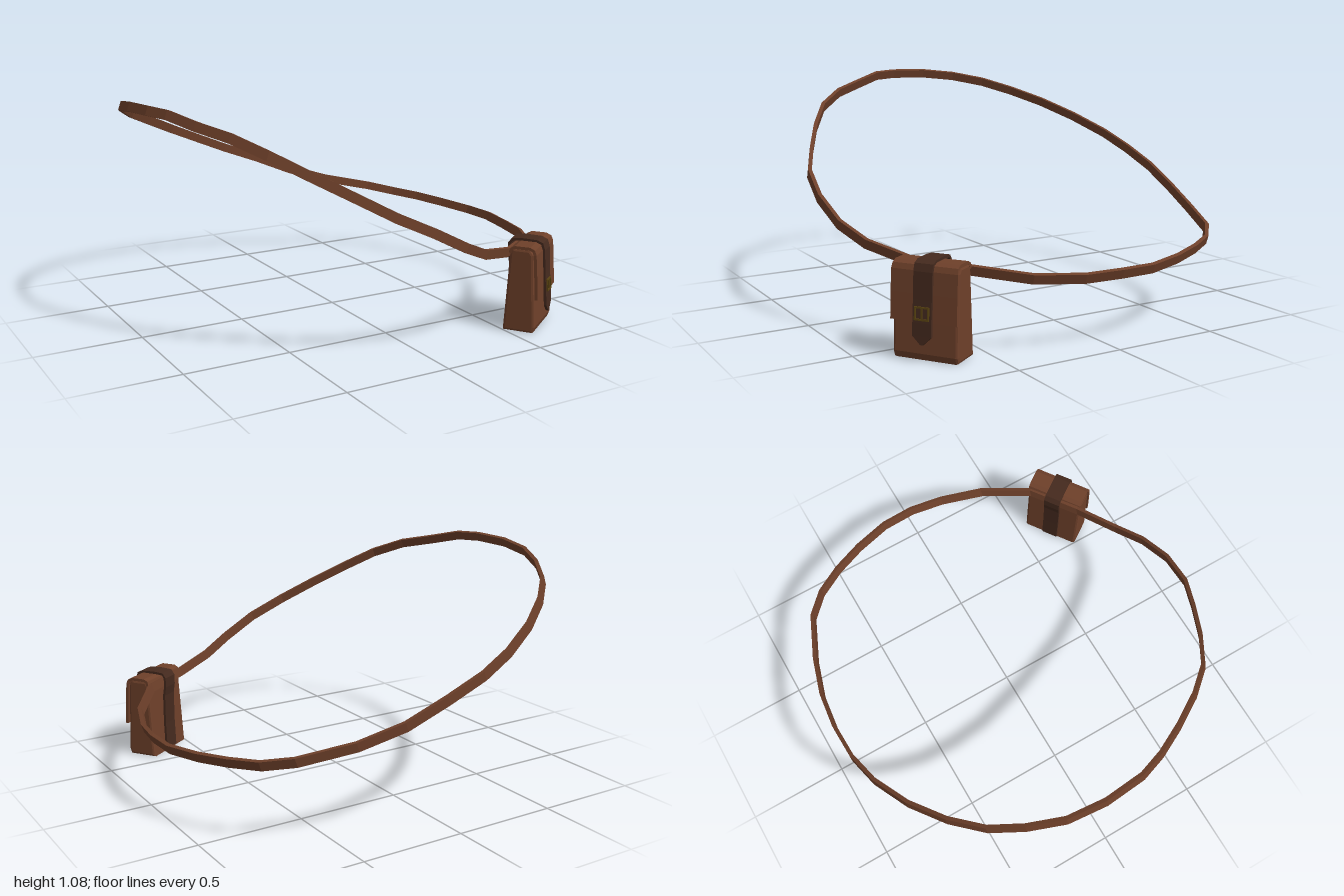
import * as THREE from 'three';

const V = (x, y, z) => new THREE.Vector3(x, y, z);
const mat = (color) => new THREE.MeshStandardMaterial({ color, flatShading: true, roughness: 0.8 });

// Flat band swept along points: u is the width direction, widths may vary per point
function ribbon(pts, u, width, thick, closed = false) {
  const n = pts.length, pos = [], idx = [];
  pts.forEach((p, i) => {
    const a = closed ? pts[(i + n - 1) % n] : pts[Math.max(i - 1, 0)];
    const b = closed ? pts[(i + 1) % n] : pts[Math.min(i + 1, n - 1)];
    const t = b.clone().sub(a).normalize();
    const v = t.cross(u).normalize();
    const w = width(i) / 2;
    for (const [su, sv] of [[-1, -1], [1, -1], [1, 1], [-1, 1]]) {
      const c = p.clone().addScaledVector(u, su * w).addScaledVector(v, sv * thick / 2);
      pos.push(c.x, c.y, c.z);
    }
  });
  for (let i = 0; i < (closed ? n : n - 1); i++) {
    const j = (i + 1) % n;
    for (let k = 0; k < 4; k++) {
      const l = (k + 1) % 4;
      const a = i * 4 + k, b = i * 4 + l, c = j * 4 + l, d = j * 4 + k;
      idx.push(a, b, c, a, c, d);
    }
  }
  if (!closed) {
    const e = (n - 1) * 4;
    idx.push(0, 2, 1, 0, 3, 2, e, e + 1, e + 2, e, e + 2, e + 3);
  }
  const g = new THREE.BufferGeometry();
  g.setAttribute('position', new THREE.Float32BufferAttribute(pos, 3));
  g.setIndex(idx);
  g.computeVertexNormals();
  return g;
}

// Belt centre line, clockwise from the back: x, y, z
const BELT = [
  [0.03, 0.585, -0.925], [0.23, 0.5, -0.905], [0.435, 0.435, -0.85], [0.67, 0.385, -0.755],
  [0.78, 0.36, -0.655], [0.86, 0.348, -0.52], [0.925, 0.335, -0.365], [0.975, 0.325, -0.185],
  [0.98, 0.325, -0.02], [0.955, 0.32, 0.15], [0.885, 0.33, 0.36], [0.735, 0.365, 0.58],
  [0.51, 0.375, 0.735], [0.3, 0.42, 0.84], [0.15, 0.485, 0.9], [-0.025, 0.575, 0.92],
  [-0.205, 0.66, 0.895], [-0.355, 0.745, 0.825], [-0.515, 0.835, 0.74], [-0.66, 0.92, 0.64],
  [-0.765, 0.98, 0.51], [-0.855, 1.015, 0.36], [-0.925, 1.05, 0.22], [-0.965, 1.055, 0.1],
  [-0.98, 1.05, -0.09], [-0.96, 1.03, -0.27], [-0.895, 0.995, -0.43], [-0.81, 0.945, -0.57],
  [-0.68, 0.885, -0.695], [-0.515, 0.81, -0.805], [-0.33, 0.73, -0.885], [-0.165, 0.66, -0.92],
];

export function createModel() {
  const model = new THREE.Group();
  const leather = mat(0x6e402a), dark = mat(0x452a1e), brass = mat(0x5c4512);
  const add = (parent, name, geo, material) => {
    const m = new THREE.Mesh(geo, material);
    m.name = name;
    parent.add(m);
    return m;
  };

  // Belt loop, its width square to the tilted plane of the loop
  const up = V(0.33, 0.944, 0);
  add(model, 'belt', ribbon(BELT.map((p) => V(...p)), up, () => 0.044, 0.018, true), leather);

  // Pouch group, local z points away from the belt
  const pouch = new THREE.Group();
  pouch.name = 'pouch';
  pouch.position.set(0.626, 0, 0.655);
  pouch.rotation.y = 0.61;
  model.add(pouch);

  // Body: side profile (z, y) with small bevels, extruded across the width
  const b = 0.012;
  const side = new THREE.Shape([
    [0.002, 0.012], [0.122, 0.012], [0.128, 0.03], [0.112, 0.37], [0.1, 0.386], [0.03, 0.386], [0.024, 0.375],
  ].map(([z, y]) => new THREE.Vector2(z, y)));
  const bodyGeo = new THREE.ExtrudeGeometry(side, {
    depth: 0.3 - 2 * b, bevelEnabled: true, bevelThickness: b, bevelSize: b, bevelSegments: 2,
  });
  bodyGeo.rotateY(-Math.PI / 2).translate(0.15 - b, 0, 0);
  add(pouch, 'pouchBody', bodyGeo, leather);

  const X = V(1, 0, 0);
  const path = (list) => list.map(([z, y]) => V(0, y, z));

  // Flap folded over the top and down the front
  const flap = path([
    [0.013, 0.375], [0.02, 0.395], [0.035, 0.403], [0.105, 0.403], [0.124, 0.394],
    [0.131, 0.375], [0.138, 0.28], [0.145, 0.165],
  ]);
  add(pouch, 'flap', ribbon(flap, X, (i) => (i < 5 ? 0.298 : 0.304), 0.014), leather);

  // Strap from the bottom of the back, round the belt, over the top to a pointed tip
  const strap = path([
    [-0.016, 0.012], [-0.012, 0.15], [-0.014, 0.3], [-0.022, 0.345], [-0.022, 0.392], [-0.008, 0.412],
    [0.04, 0.416], [0.11, 0.414], [0.134, 0.404], [0.143, 0.375], [0.15, 0.26],
    [0.158, 0.165], [0.161, 0.11], [0.163, 0.075],
  ]);
  const last = strap.length - 1;
  add(pouch, 'strap', ribbon(strap, X, (i) => (i === last ? 0.012 : 0.086), 0.012), dark);

  // Buckle: square frame with a prong
  const buckle = new THREE.Group();
  buckle.name = 'buckle';
  buckle.position.set(0, 0.205, 0.163);
  buckle.rotation.x = -0.08;
  pouch.add(buckle);
  for (const s of [-1, 1]) {
    add(buckle, 'buckleSide', new THREE.BoxGeometry(0.007, 0.056, 0.008), brass).position.x = s * 0.03;
    add(buckle, 'buckleBar', new THREE.BoxGeometry(0.067, 0.007, 0.008), brass).position.y = s * 0.025;
  }
  add(buckle, 'bucklePin', new THREE.BoxGeometry(0.006, 0.05, 0.006), brass);

  return model;
}
